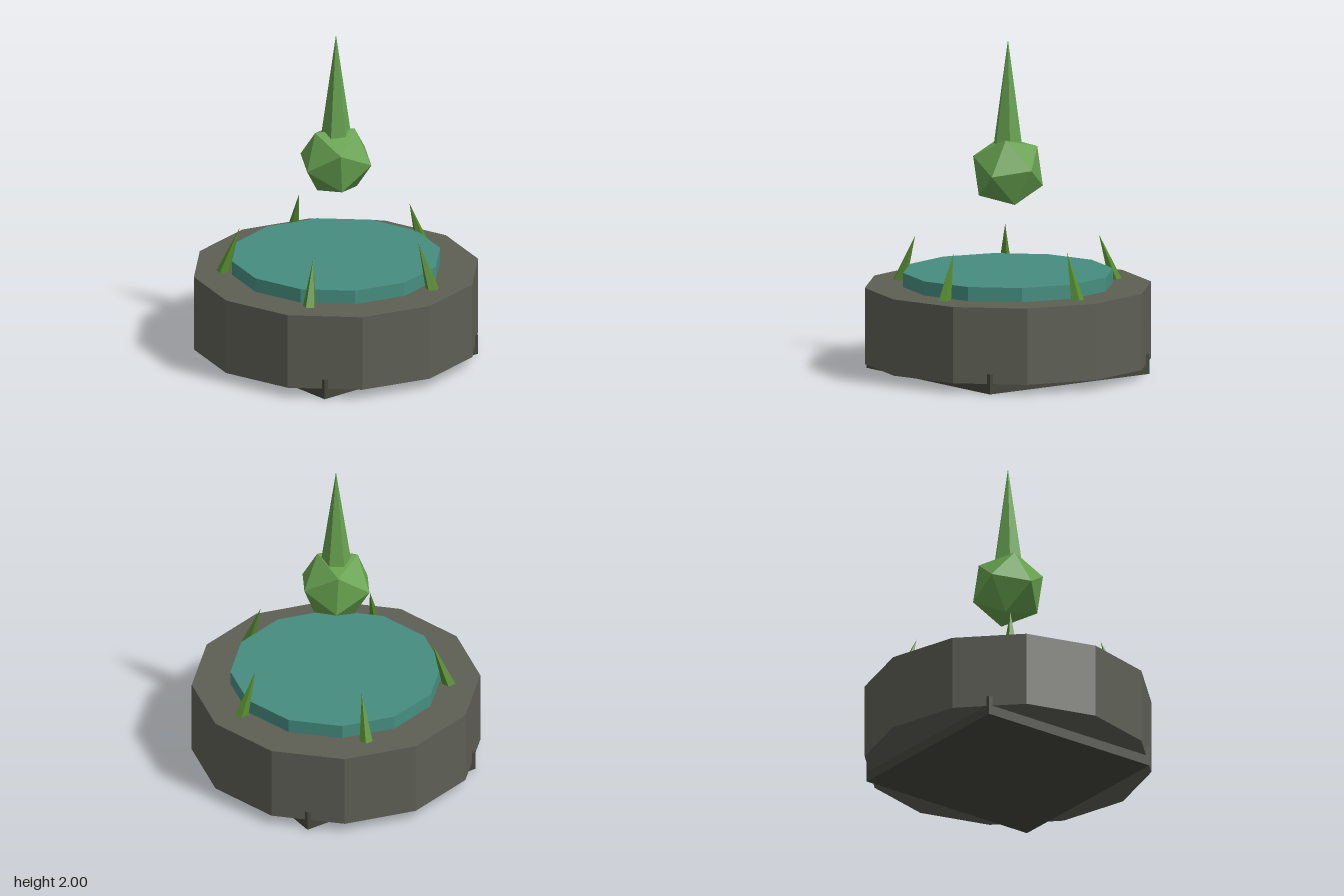
import * as THREE from 'three';

const paint = (color) => new THREE.MeshStandardMaterial({ color, flatShading: true });

function add(parent, name, geometry, material, x = 0, y = 0, z = 0) {
  const mesh = new THREE.Mesh(geometry, material);
  mesh.name = name;
  mesh.position.set(x, y, z);
  parent.add(mesh);
  return mesh;
}

export function createModel() {
  const model = new THREE.Group();
  model.name = 'thornFountain';

  const darkStone = paint(0x44463c);
  const stone = paint(0x5d5e54);
  const water = paint(0x468e80);
  const leaf = paint(0x66a04e);
  const thornGreen = paint(0x558b2f);

  // Square plinth whose corners poke out of the drum
  add(model, 'plinth', new THREE.BoxGeometry(1.2, 0.12, 1.2), darkStone, 0, 0.06, 0);

  // Twelve-sided drum and the raised pool on top
  add(model, 'drum', new THREE.CylinderGeometry(0.86, 0.86, 0.46, 12), stone, 0, 0.29, 0);
  add(model, 'pool', new THREE.CylinderGeometry(0.63, 0.63, 0.12, 12), water, 0, 0.545, 0);

  // Five thorns around the rim, leaning inwards
  for (let i = 0; i < 5; i++) {
    const pivot = new THREE.Group();
    pivot.name = `thorn${i + 1}`;
    pivot.rotation.y = (i / 5) * Math.PI * 2;
    const cone = add(pivot, 'thornCone', new THREE.ConeGeometry(0.042, 0.3, 5), thornGreen, 0.625, 0.649, 0);
    cone.rotation.z = 0.34;
    model.add(pivot);
  }

  // Floating faceted bulb, tilted by aligning one edge of the icosahedron
  const bulb = add(model, 'bulb', new THREE.IcosahedronGeometry(0.228, 0), leaf, 0, 1.208, 0);
  const a = new THREE.Vector3(-0.228, -0.028, 0).normalize();
  const b = new THREE.Vector3(-0.11, 0.092, 0.175).normalize();
  const up = a.clone().add(b).normalize();
  const side = b.clone().sub(a).normalize();
  const out = side.clone().cross(up);
  bulb.quaternion.setFromRotationMatrix(new THREE.Matrix4().makeBasis(side, up, out));

  // Tall six-sided spike on the bulb
  add(model, 'spike', new THREE.ConeGeometry(0.091, 0.635, 6), leaf, 0, 1.6825, 0);

  return model;
}
